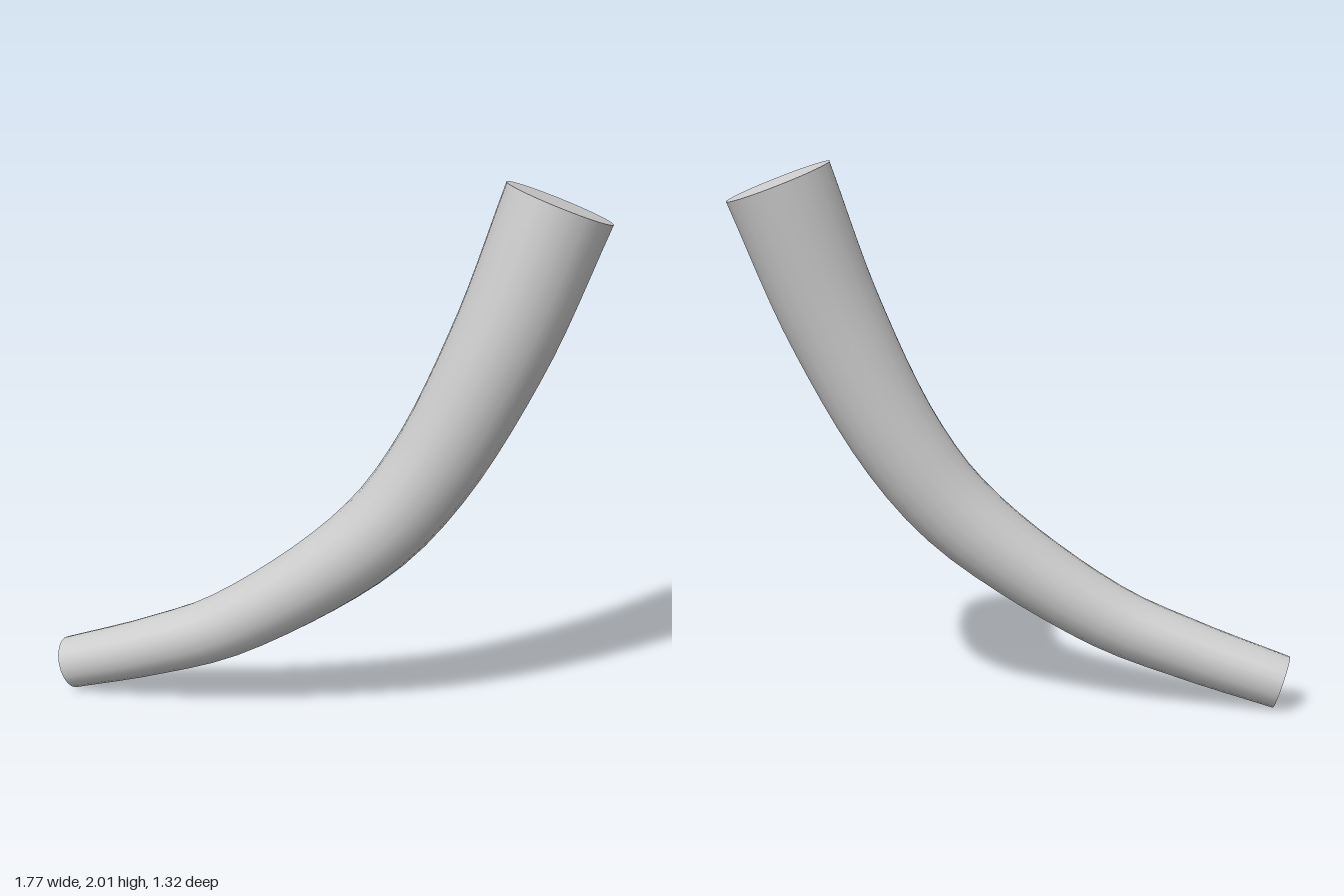
import * as THREE from 'three';

// Centre line from thin tip to thick end: x, y, z, radius
const STATIONS = [
  [-0.82, 0.095, -0.588, 0.1],
  [-0.56, 0.205, -0.36, 0.112],
  [-0.31, 0.335, -0.155, 0.125],
  [0.1, 0.685, 0.145, 0.152],
  [0.295, 0.96, 0.265, 0.165],
  [0.51, 1.435, 0.388, 0.185],
  [0.69, 1.935, 0.459, 0.2],
];
const RINGS = 28, SIDES = 20;

export function createModel() {
  const group = new THREE.Group();
  group.name = 'curvedHorn';
  const material = new THREE.MeshStandardMaterial({ color: 0xcccccc });

  const curve = new THREE.CatmullRomCurve3(STATIONS.map(([x, y, z]) => new THREE.Vector3(x, y, z)));
  const shaft = new THREE.TubeGeometry(curve, RINGS, 1, SIDES);

  // Taper the unit tube by scaling each ring about the centre line
  const pos = shaft.attributes.position;
  const p = new THREE.Vector3();
  const radiusAt = (y) => {
    let i = 0;
    while (i < STATIONS.length - 2 && y > STATIONS[i + 1][1]) i++;
    const a = STATIONS[i], b = STATIONS[i + 1];
    return THREE.MathUtils.mapLinear(y, a[1], b[1], a[3], b[3]);
  };
  for (let r = 0; r <= RINGS; r++) {
    const centre = curve.getPointAt(r / RINGS);
    const radius = radiusAt(centre.y);
    for (let s = 0; s <= SIDES; s++) {
      const i = r * (SIDES + 1) + s;
      p.fromBufferAttribute(pos, i).sub(centre).multiplyScalar(radius).add(centre);
      pos.setXYZ(i, p.x, p.y, p.z);
    }
  }
  shaft.computeBoundingSphere();
  const body = new THREE.Mesh(shaft, material);
  body.name = 'taperedShaft';
  group.add(body);

  // Flat end discs, square to the centre line
  for (const [name, t, dir] of [['thinEndCap', 0, -1], ['thickEndCap', 1, 1]]) {
    const centre = curve.getPointAt(t);
    const cap = new THREE.Mesh(new THREE.CircleGeometry(radiusAt(centre.y), 40), material);
    cap.name = name;
    cap.position.copy(centre);
    cap.quaternion.setFromUnitVectors(new THREE.Vector3(0, 0, 1), curve.getTangentAt(t).multiplyScalar(dir));
    group.add(cap);
  }
  return group;
}
